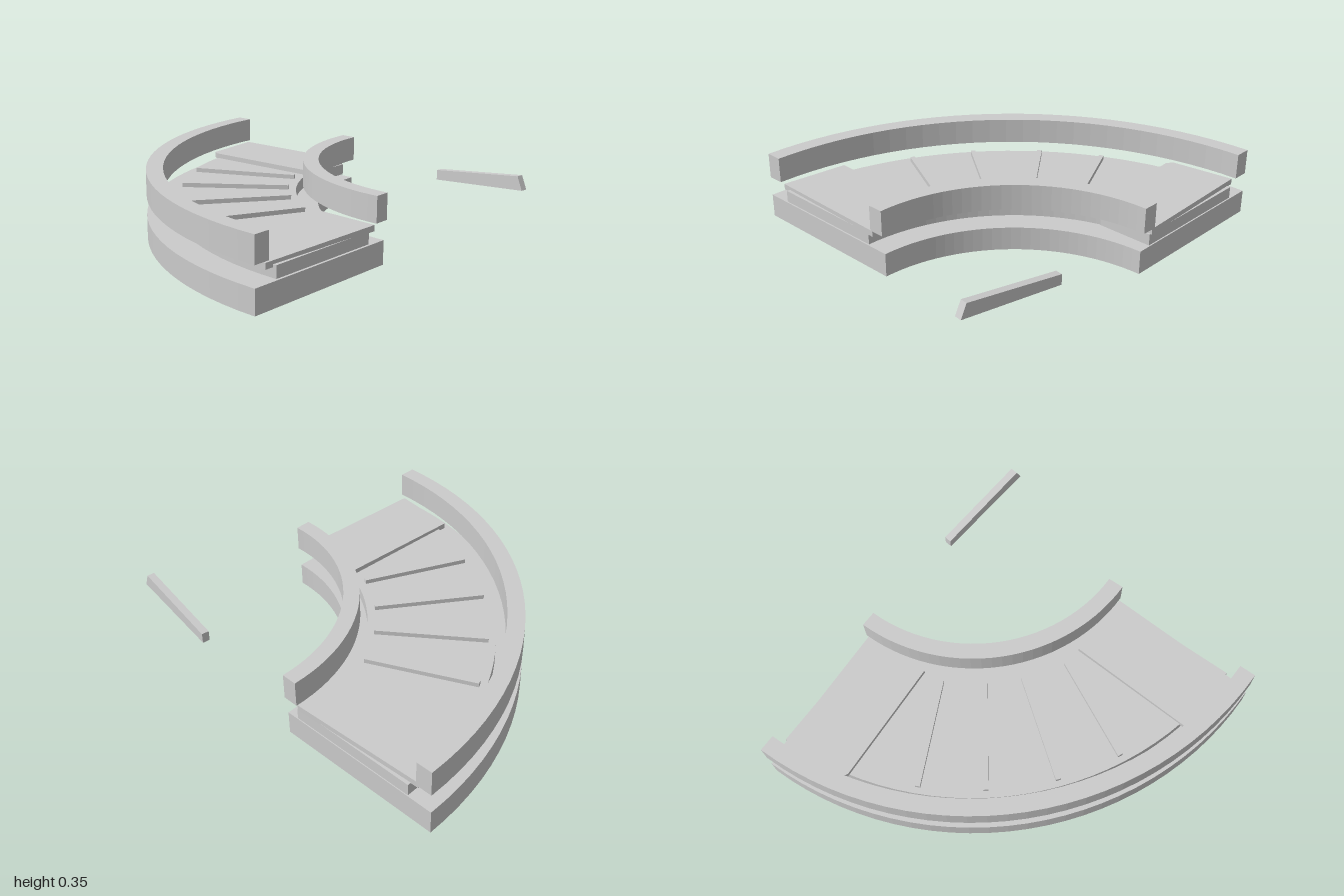
import * as THREE from 'three';

const material = new THREE.MeshStandardMaterial({ color: 0xcccccc, flatShading: true });
const CX = 0.71, CZ = -0.85; // centre of the bend

// Shapes are drawn in plan (x, z) and extruded from y0 up to y1.
function slab(name, shape, y0, y1) {
  const geo = new THREE.ExtrudeGeometry(shape, { depth: y1 - y0, bevelEnabled: false, curveSegments: 14 });
  geo.rotateX(Math.PI / 2).translate(0, y1, 0);
  const mesh = new THREE.Mesh(geo, material);
  mesh.name = name;
  return mesh;
}

// Quarter ring round the bend centre, optionally running past both ends.
function ring(name, r0, r1, y0, y1, extra = 0) {
  const a = Math.PI / 2 - extra, b = Math.PI + extra;
  const shape = new THREE.Shape();
  shape.absarc(CX, CZ, r1, a, b, false);
  shape.absarc(CX, CZ, r0, b, a, true);
  shape.closePath();
  return slab(name, shape, y0, y1);
}

const polygon = (points) => new THREE.Shape(points.map(([x, z]) => new THREE.Vector2(x, z)));

export function createModel() {
  const group = new THREE.Group();

  // Curved base, deck and side rails
  group.add(
    ring('base', 0.835, 1.71, 0, 0.12),
    ring('deck', 0.95, 1.58, 0.127, 0.187),
    ring('innerRail', 0.835, 0.915, 0.22, 0.35, 0.017),
    ring('outerRail', 1.625, 1.71, 0.22, 0.35)
  );

  // Flat landing plates at the two ends
  group.add(
    slab('backPlate', polygon([[-0.91, -0.83], [-0.2, -0.855], [-0.185, -0.51], [-0.83, -0.48], [-0.865, -0.5]]), 0.183, 0.213)
  );
  const frontPlate = slab('frontPlate', polygon([[0.37, 0.05], [0.715, 0.065], [0.69, 0.775], [0.34, 0.73]]), 0.177, 0.207);
  // the plate dips slightly towards its outer edge
  const pos = frontPlate.geometry.attributes.position;
  for (let i = 0; i < pos.count; i++) pos.setY(i, pos.getY(i) + 0.012 * (0.5 - pos.getZ(i)));
  frontPlate.geometry.computeVertexNormals();
  group.add(frontPlate);

  // Straight inner side of the back landing
  group.add(slab('backSupport', polygon([[-0.25, -0.85], [-0.19, -0.85], [-0.19, -0.56], [-0.25, -0.56]]), 0.127, 0.185));

  // Radiating slats on the deck
  const slats = [
    [-0.68, -0.17, -0.175, -0.41],
    [-0.5, 0.11, -0.055, -0.225],
    [-0.25, 0.365, 0.08, -0.085],
    [0.03, 0.54, 0.275, 0.04]
  ];
  for (const [x0, z0, x1, z1] of slats) {
    const slat = new THREE.Mesh(new THREE.BoxGeometry(Math.hypot(x1 - x0, z1 - z0), 0.025, 0.025), material);
    slat.position.set((x0 + x1) / 2, 0.197, (z0 + z1) / 2);
    slat.rotation.y = -Math.atan2(z1 - z0, x1 - x0);
    slat.name = 'slat';
    group.add(slat);
  }

  // Separate tapered lever, rising towards its free end
  const profile = new THREE.Shape([[0, 0.21], [0.54, 0.257], [0.51, 0.325], [0, 0.262]].map(([x, y]) => new THREE.Vector2(x, y)));
  const leverGeo = new THREE.ExtrudeGeometry(profile, { depth: 0.037, bevelEnabled: false });
  leverGeo.translate(0, 0, -0.0185);
  const lever = new THREE.Mesh(leverGeo, material);
  lever.position.set(0.458, 0, -0.849);
  lever.rotation.y = -0.12;
  lever.name = 'lever';
  group.add(lever);

  return group;
}
